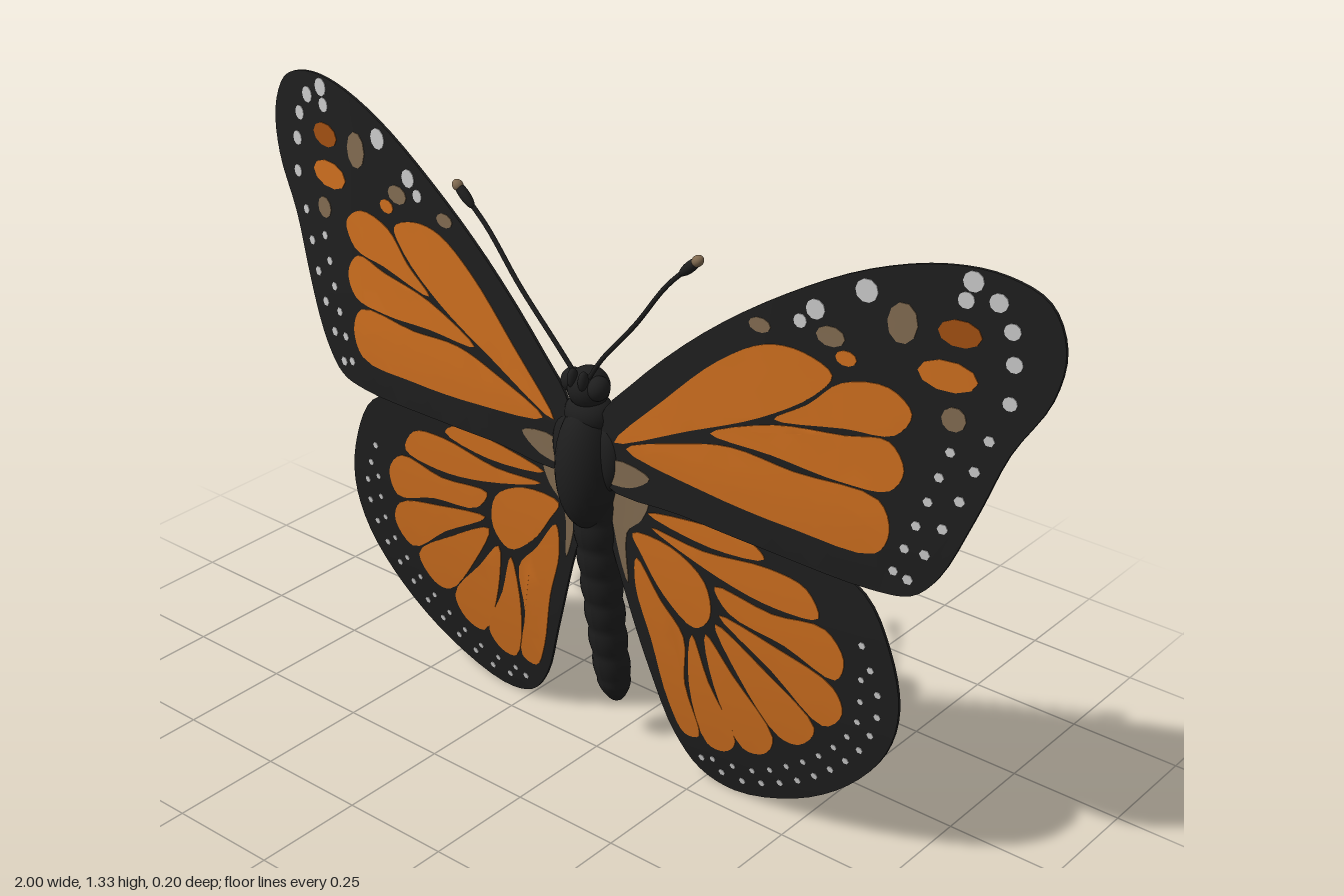
import * as THREE from 'three';
import { mergeGeometries, toCreasedNormals } from 'three/addons/utils/BufferGeometryUtils.js';

const paint = (name, color) => Object.assign(new THREE.MeshStandardMaterial({ color }), { name });
const black = paint('black', 0x1e1e1e);
const orange = paint('orange', 0xcb6d1e);
const rust = paint('rust', 0xa04f12);
const tan = paint('tan', 0x806a50);
const white = paint('white', 0xc8c8c8);

// Curvature of each wing: depth as a function of position
const foreZ = (x, y) => 0.037 - 0.1 * x * x - 0.05 * Math.max(0, y - 0.8);
const hindZ = (x, y) => 0.002 - 0.035 * x * x - 0.15 * (0.66 - y) ** 2;

const MEMBRANE = 0.0064, PLATE = 0.0096, MAX_EDGE = 0.06;

const curve = (pts, closed) =>
  new THREE.CatmullRomCurve3(pts.map(([x, y]) => new THREE.Vector3(x, y, 0)), closed);
const smooth = (pts) => curve(pts, true).getPoints(pts.length * 4).slice(0, -1);

function ellipse([cx, cy, rx, ry = rx], n = 10) {
  return Array.from({ length: n }, (_, i) => {
    const a = (i / n) * Math.PI * 2;
    return new THREE.Vector2(cx + rx * Math.cos(a), cy + ry * Math.sin(a));
  });
}

// Thin plate with the given outline, finely divided and bent onto the wing curve
function bentPlate(outline, thickness, zAt, side) {
  const shape = new THREE.Shape(outline.map((p) => new THREE.Vector2(p.x, p.y)));
  const flat = new THREE.ExtrudeGeometry(shape, { depth: thickness, bevelEnabled: false });
  const p = flat.attributes.position;
  const out = [];
  const put = (v) => out.push(v.x * side, v.y, v.z - thickness / 2 + zAt(v.x, v.y));
  const split = (a, b, c) => {
    const ab = a.distanceTo(b), bc = b.distanceTo(c), ca = c.distanceTo(a);
    const longest = Math.max(ab, bc, ca);
    if (longest <= MAX_EDGE) {
      (side > 0 ? [a, b, c] : [a, c, b]).forEach(put);
      return;
    }
    if (longest === bc) [a, b, c] = [b, c, a];
    else if (longest === ca) [a, b, c] = [c, a, b];
    const m = a.clone().add(b).multiplyScalar(0.5);
    split(a, m, c);
    split(m, b, c);
  };
  const v = (i) => new THREE.Vector3().fromBufferAttribute(p, i);
  for (let i = 0; i < p.count; i += 3) split(v(i), v(i + 1), v(i + 2));
  const g = new THREE.BufferGeometry();
  g.setAttribute('position', new THREE.Float32BufferAttribute(out, 3));
  return toCreasedNormals(g, 0.7);
}

const foreOutline = [[0.04, 0.83], [0.12, 0.93], [0.28, 1.08], [0.45, 1.2], [0.62, 1.29], [0.77, 1.333],
  [0.88, 1.333], [0.96, 1.3], [0.998, 1.22], [0.985, 1.12], [0.92, 1.0], [0.87, 0.86], [0.81, 0.72],
  [0.76, 0.667], [0.68, 0.655], [0.45, 0.668], [0.25, 0.68], [0.05, 0.69]];
const foreCells = [
  [[0.08, 0.79], [0.2, 0.92], [0.32, 1.035], [0.42, 1.095], [0.5, 1.1], [0.565, 1.07], [0.53, 1.02], [0.42, 0.945], [0.26, 0.87]],
  [[0.45, 0.95], [0.52, 1.0], [0.585, 1.06], [0.68, 1.075], [0.73, 1.035], [0.7, 0.985], [0.6, 0.972]],
  [[0.31, 0.88], [0.45, 0.938], [0.6, 0.958], [0.69, 0.97], [0.725, 0.92], [0.7, 0.872], [0.6, 0.863], [0.45, 0.875]],
  [[0.11, 0.785], [0.25, 0.84], [0.36, 0.865], [0.5, 0.855], [0.68, 0.848], [0.707, 0.79], [0.68, 0.735], [0.5, 0.735], [0.3, 0.752]],
];

const hindOutline = [[0.03, 0.68], [0.1, 0.72], [0.3, 0.71], [0.52, 0.69], [0.66, 0.635], [0.72, 0.53],
  [0.745, 0.4], [0.715, 0.28], [0.625, 0.16], [0.49, 0.06], [0.33, 0.005], [0.24, 0.025], [0.18, 0.1],
  [0.13, 0.24], [0.075, 0.42], [0.035, 0.56]];
const hindCells = [
  [[0.14, 0.635], [0.3, 0.66], [0.4, 0.657], [0.43, 0.632], [0.3, 0.612]],
  [[0.15, 0.605], [0.28, 0.597], [0.44, 0.615], [0.53, 0.6], [0.56, 0.545], [0.46, 0.53], [0.32, 0.55]],
  [[0.31, 0.525], [0.45, 0.513], [0.575, 0.525], [0.62, 0.47], [0.6, 0.415], [0.48, 0.45], [0.345, 0.475]],
  [[0.32, 0.46], [0.46, 0.437], [0.595, 0.395], [0.617, 0.34], [0.57, 0.29], [0.45, 0.375]],
  [[0.31, 0.435], [0.43, 0.37], [0.55, 0.275], [0.51, 0.215], [0.46, 0.215], [0.365, 0.33]],
  [[0.285, 0.4], [0.35, 0.325], [0.445, 0.205], [0.42, 0.15], [0.365, 0.14], [0.3, 0.28]],
  [[0.25, 0.385], [0.287, 0.28], [0.347, 0.15], [0.315, 0.108], [0.27, 0.11], [0.235, 0.25]],
  [[0.11, 0.52], [0.17, 0.44], [0.227, 0.37], [0.223, 0.25], [0.25, 0.12], [0.21, 0.11], [0.175, 0.18], [0.14, 0.33], [0.105, 0.45]],
  [[0.1, 0.575], [0.2, 0.577], [0.285, 0.525], [0.297, 0.445], [0.255, 0.405], [0.18, 0.455], [0.125, 0.53]],
];

// Rows of small pale dots along a margin
const dotRow = (pts, n, r) => curve(pts, false).getSpacedPoints(n - 1).map((p) => ellipse([p.x, p.y, r], 6));
const spots = (list) => list.map((s) => ellipse(s));

const wings = [
  {
    name: 'Forewing', zAt: foreZ, outline: foreOutline,
    marks: [
      ['Cells', orange, [...foreCells.map(smooth), ...spots([[0.79, 1.125, 0.058, 0.03], [0.59, 1.11, 0.022, 0.015]])]],
      ['RustSpots', rust, spots([[0.805, 1.21, 0.042, 0.026]])],
      ['TanPatches', tan, [smooth([[0.05, 0.7], [0.08, 0.75], [0.17, 0.737], [0.12, 0.7]]),
        ...spots([[0.695, 1.205, 0.03, 0.04], [0.81, 1.045, 0.024], [0.555, 1.145, 0.03, 0.02], [0.405, 1.13, 0.024, 0.015]])]],
      ['PaleSpots', white, [
        ...spots([[0.62, 1.25, 0.023], [0.52, 1.19, 0.02], [0.82, 1.312, 0.02], [0.81, 1.275, 0.016], [0.87, 1.283, 0.018],
          [0.9, 1.235, 0.016], [0.91, 1.175, 0.016], [0.91, 1.1, 0.014], [0.49, 1.16, 0.014]]),
        ...dotRow([[0.88, 1.02], [0.83, 0.87], [0.75, 0.7]], 6, 0.011),
        ...dotRow([[0.81, 0.98], [0.77, 0.85], [0.72, 0.71]], 6, 0.01)]],
    ],
  },
  {
    name: 'Hindwing', zAt: hindZ, outline: hindOutline,
    marks: [
      ['Cells', orange, hindCells.map(smooth)],
      ['TanPatches', tan, [smooth([[0.045, 0.69], [0.14, 0.665], [0.125, 0.615], [0.085, 0.57], [0.085, 0.45], [0.055, 0.55]])]],
      ['PaleSpots', white, [
        ...dotRow([[0.66, 0.52], [0.7, 0.4], [0.67, 0.29], [0.58, 0.18], [0.46, 0.09], [0.33, 0.04], [0.25, 0.06]], 15, 0.008),
        ...dotRow([[0.66, 0.44], [0.65, 0.33], [0.58, 0.23], [0.48, 0.145], [0.38, 0.085], [0.28, 0.07]], 12, 0.007)]],
    ],
  },
];

export function createModel() {
  const model = new THREE.Group();
  model.name = 'butterfly';
  const add = (name, geometry, material, parent = model) => {
    const mesh = new THREE.Mesh(geometry, material);
    mesh.name = name;
    parent.add(mesh);
    return mesh;
  };
  const ball = (name, [x, y, z], [rx, ry, rz], material = black) => {
    const mesh = add(name, new THREE.SphereGeometry(1, 24, 16), material);
    mesh.position.set(x, y, z);
    mesh.scale.set(rx, ry, rz);
    return mesh;
  };

  // Wings: a black membrane with coloured plates showing on both faces
  for (const side of [1, -1]) {
    const label = side > 0 ? 'left' : 'right';
    for (const { name, zAt, outline, marks } of wings) {
      const wing = new THREE.Group();
      wing.name = label + name;
      model.add(wing);
      add(label + name + 'Membrane', bentPlate(smooth(outline), MEMBRANE, zAt, side), black, wing);
      for (const [part, material, outlines] of marks) {
        const plates = outlines.map((o) => bentPlate(o, PLATE, zAt, side));
        add(label + name + part, mergeGeometries(plates), material, wing);
      }
    }

    // Wing roots, eyes and mouth feelers
    ball(label + 'WingRoot', [side * 0.05, 0.74, 0.025], [0.04, 0.075, 0.03]);
    ball(label + 'Eye', [side * 0.034, 0.893, 0.035], [0.023, 0.026, 0.026]);
    ball(label + 'Palp', [side * 0.014, 0.91, 0.058], [0.01, 0.022, 0.013]);

    // Antenna with a club and a tan tip
    const path = new THREE.CatmullRomCurve3([[0.015, 0.91, 0.045], [0.06, 0.972, 0.055], [0.15, 1.075, 0.062],
      [0.23, 1.18, 0.067], [0.3, 1.247, 0.07]].map(([x, y, z]) => new THREE.Vector3(x * side, y, z)));
    add(label + 'Antenna', new THREE.TubeGeometry(path, 24, 0.005, 8), black);
    const club = ball(label + 'AntennaClub', [side * 0.287, 1.235, 0.0695], [0.011, 0.034, 0.011]);
    const tip = ball(label + 'AntennaTip', [side * 0.304, 1.251, 0.07], [0.011, 0.013, 0.0115], tan);
    club.rotation.z = tip.rotation.z = -side * 0.82;
  }

  // Head and thorax
  ball('head', [0, 0.883, 0.025], [0.044, 0.045, 0.045]);
  ball('collar', [0, 0.825, 0.022], [0.054, 0.045, 0.048]);
  ball('thorax', [0, 0.71, 0.028], [0.064, 0.145, 0.074]);

  // Segmented abdomen, bent backwards towards the tip
  const profile = [];
  const STEPS = 56;
  for (let i = 0; i <= STEPS; i++) {
    const t = i / STEPS;
    const taper = (0.038 + 0.012 * t) * Math.min(1, Math.sqrt(t * 9));
    profile.push(new THREE.Vector2(taper * (0.92 + 0.1 * Math.abs(Math.sin(t * Math.PI * 8))), 0.09 + 0.56 * t));
  }
  const abdomen = new THREE.LatheGeometry(profile, 24);
  const p = abdomen.attributes.position;
  for (let i = 0; i < p.count; i++) {
    const d = Math.max(0, 0.65 - p.getY(i));
    p.setZ(i, p.getZ(i) + 0.012 - 0.1 * d - 0.08 * d * d);
  }
  abdomen.computeVertexNormals();
  add('abdomen', abdomen, black);

  return model;
}
